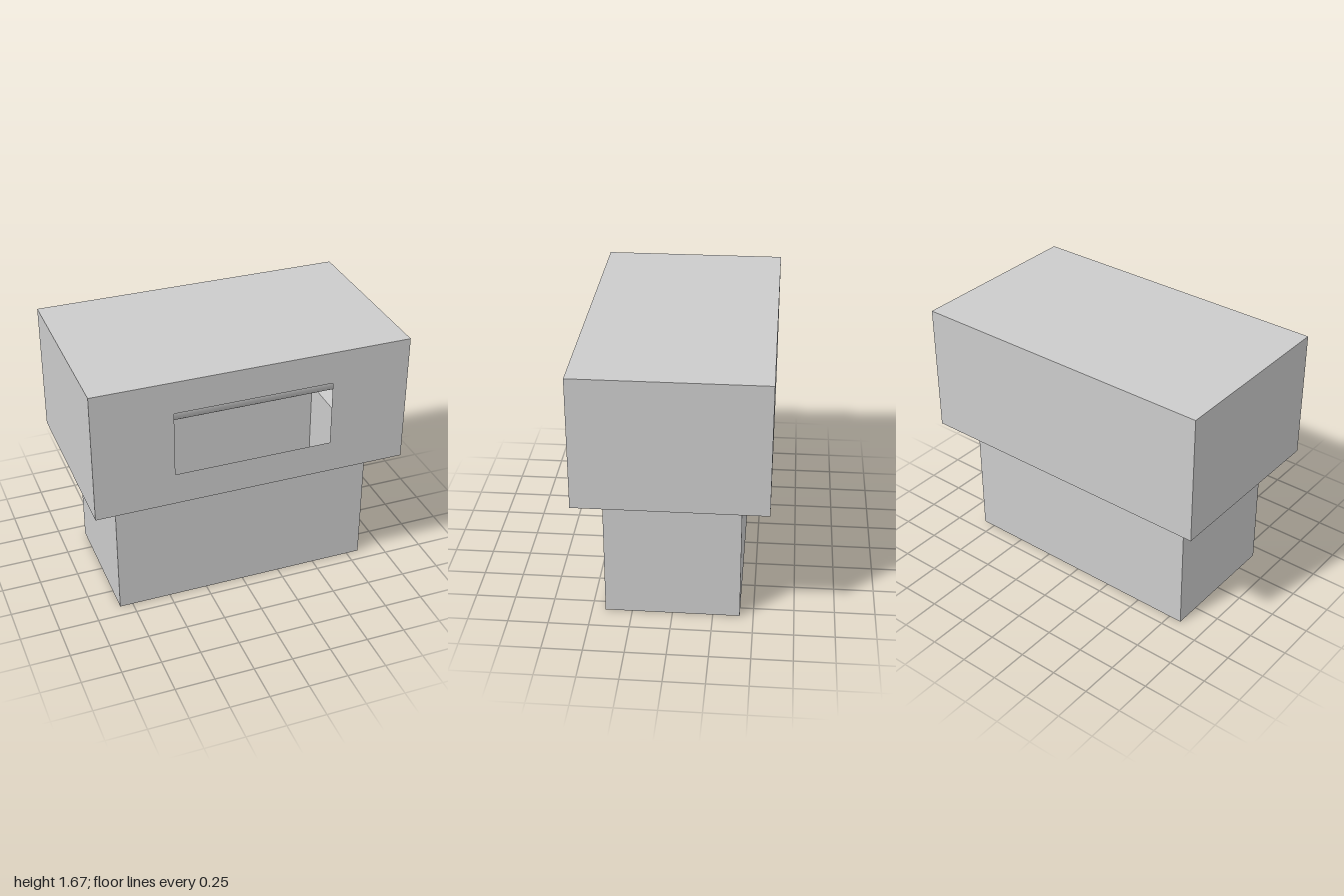
import * as THREE from 'three';

const material = new THREE.MeshStandardMaterial({ color: 0xcccccc, side: THREE.DoubleSide });

// Thin flat rectangle facing +z, with an optional rectangular hole [cx, cy, w, h]
function panel(name, w, h, hole) {
  const rect = (target, cx, cy, rw, rh) => {
    target.moveTo(cx - rw / 2, cy - rh / 2);
    target.lineTo(cx + rw / 2, cy - rh / 2);
    target.lineTo(cx + rw / 2, cy + rh / 2);
    target.lineTo(cx - rw / 2, cy + rh / 2);
    target.closePath();
    return target;
  };
  const shape = rect(new THREE.Shape(), 0, 0, w, h);
  if (hole) shape.holes.push(rect(new THREE.Path(), ...hole));
  const mesh = new THREE.Mesh(new THREE.ShapeGeometry(shape), material);
  mesh.name = name;
  return mesh;
}

// Four outward-facing walls around a w x d plan, centred on the group's origin
function walls(w, h, d, frontHole) {
  const group = new THREE.Group();
  ['frontWall', 'leftWall', 'backWall', 'rightWall'].forEach((name, i) => {
    const side = i % 2 === 1;
    const wall = panel(name, side ? d : w, h, i === 0 ? frontHole : undefined);
    wall.rotation.y = i * Math.PI / 2;
    wall.translateZ((side ? w : d) / 2);
    group.add(wall);
  });
  return group;
}

export function createModel() {
  const model = new THREE.Group();
  const upper = { w: 2, h: 0.833, d: 1.167 };
  const lower = { w: 1.667, h: 0.833, d: 0.833 };

  // Lower bin: walls and floor, open into the head above
  const bin = walls(lower.w, lower.h, lower.d);
  bin.name = 'lowerBin';
  bin.position.y = lower.h / 2;
  const floor = panel('floor', lower.w, lower.d);
  floor.rotation.x = Math.PI / 2;
  floor.position.y = -lower.h / 2;
  bin.add(floor);

  // Hollow head: slotted front, lid, and a ledge around the bin opening
  const head = walls(upper.w, upper.h, upper.d, [0, 0, 1, 0.42]);
  head.name = 'head';
  head.position.y = lower.h + upper.h / 2;
  const lid = panel('lid', upper.w, upper.d);
  lid.rotation.x = -Math.PI / 2;
  lid.position.y = upper.h / 2;
  const ledge = panel('ledge', upper.w, upper.d, [0, 0, lower.w, lower.d]);
  ledge.rotation.x = Math.PI / 2;
  ledge.position.y = -upper.h / 2;
  head.add(lid, ledge);

  // Roller lying inside the head, behind the slot
  const roller = new THREE.Mesh(new THREE.CylinderGeometry(0.082, 0.082, 1.667, 32), material);
  roller.name = 'roller';
  roller.rotation.z = Math.PI / 2;
  roller.position.y = 1.137;

  model.add(bin, head, roller);
  return model;
}
